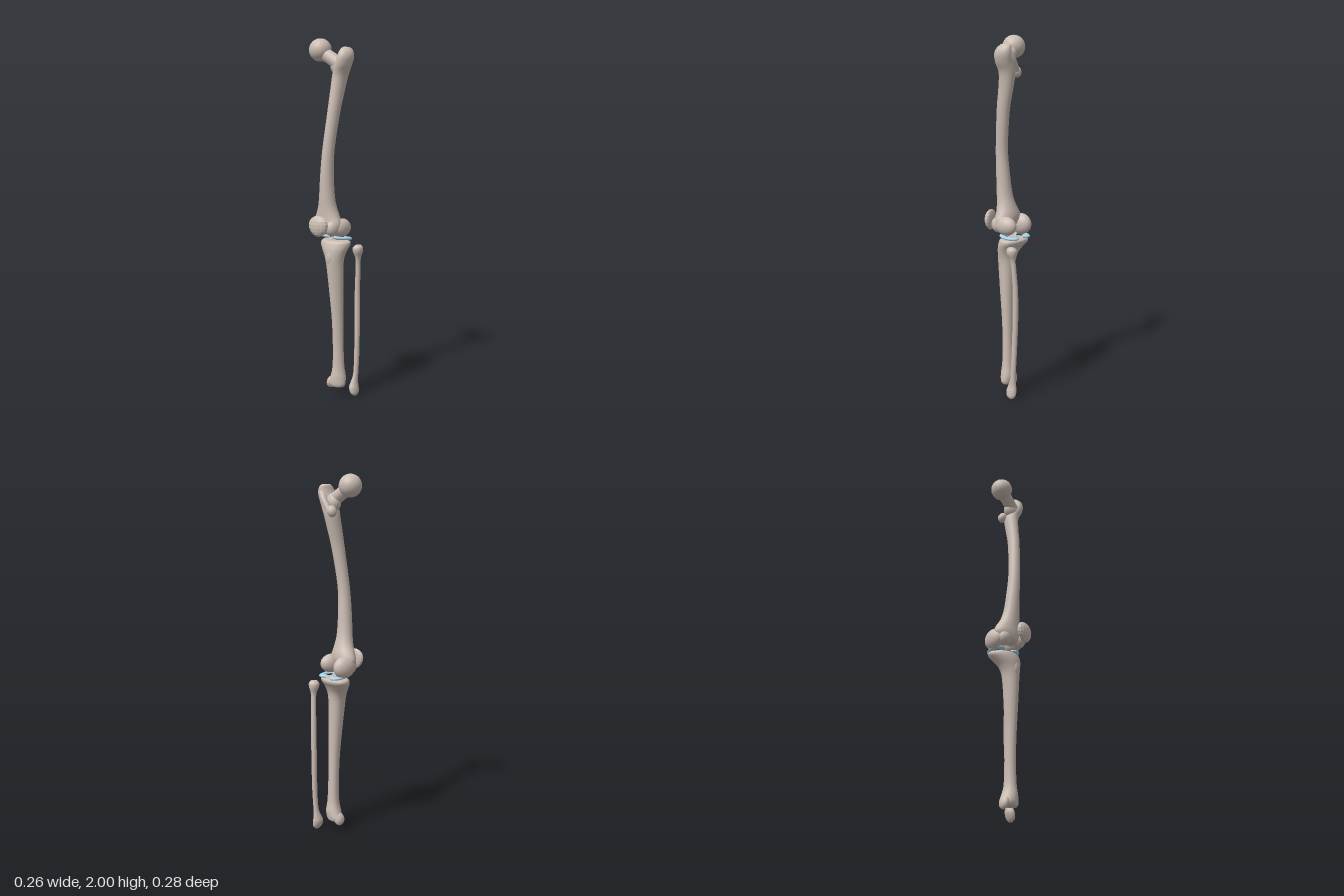
import * as THREE from 'three';

const bone = new THREE.MeshStandardMaterial({ color: 0xcbbdb3 });
const facetedBone = new THREE.MeshStandardMaterial({ color: 0xcbbdb3, flatShading: true });
const cartilage = new THREE.MeshStandardMaterial({ color: 0xa9d3e6, side: THREE.DoubleSide });

function add(group, name, geometry, material = bone) {
  const mesh = new THREE.Mesh(geometry, material);
  mesh.name = name;
  group.add(mesh);
  return mesh;
}

// Smooth upright loft. Rows run bottom to top: [y, xMin, xMax, zMin, zMax].
// crest narrows the section towards +z, giving a front ridge.
function loft(rows, { sides = 24, steps = 4, crest = 0 } = {}) {
  const V = THREE.Vector3;
  const xs = new THREE.CatmullRomCurve3(rows.map(r => new V(r[1], r[0], r[2])), false, 'catmullrom');
  const zs = new THREE.CatmullRomCurve3(rows.map(r => new V(r[3], r[0], r[4])), false, 'catmullrom');
  const n = (rows.length - 1) * steps;
  const pos = [], idx = [];
  for (let i = 0; i <= n; i++) {
    const a = xs.getPoint(i / n), b = zs.getPoint(i / n);
    for (let j = 0; j < sides; j++) {
      const t = j / sides * Math.PI * 2, s = Math.sin(t);
      pos.push((a.x + a.z) / 2 + (a.z - a.x) / 2 * Math.cos(t) * (1 - crest * s),
        a.y, (b.x + b.z) / 2 + (b.z - b.x) / 2 * s);
    }
  }
  for (let i = 0; i < n; i++) for (let j = 0; j < sides; j++) {
    const k = (j + 1) % sides, p = i * sides + j, q = i * sides + k;
    idx.push(p, p + sides, q, q, p + sides, q + sides);
  }
  // End caps
  for (const [row, ring] of [[rows[0], 0], [rows[rows.length - 1], n * sides]]) {
    const c = pos.length / 3;
    pos.push((row[1] + row[2]) / 2, row[0], (row[3] + row[4]) / 2);
    for (let j = 0; j < sides; j++) {
      const p = ring + j, q = ring + (j + 1) % sides;
      idx.push(c, ...(ring ? [q, p] : [p, q]));
    }
  }
  const g = new THREE.BufferGeometry();
  g.setAttribute('position', new THREE.Float32BufferAttribute(pos, 3));
  g.setIndex(idx);
  g.computeVertexNormals();
  return g;
}

function ellipsoid(center, radii, tiltZ = 0, tiltX = 0) {
  return new THREE.SphereGeometry(1, 24, 16).scale(...radii)
    .rotateZ(tiltZ).rotateX(tiltX).translate(...center);
}

function tube(points, radius) {
  const curve = new THREE.CatmullRomCurve3(points.map(p => new THREE.Vector3(...p)));
  return new THREE.TubeGeometry(curve, 16, radius, 16);
}

function makeFemur() {
  const g = new THREE.Group();
  g.name = 'femur';
  // Shaft, flared at the knee and rising into the greater trochanter
  add(g, 'femurShaft', loft([
    [0.945, -0.06, 0.055, -0.01, 0.045],
    [0.965, -0.09, 0.075, -0.03, 0.06],
    [1.0, -0.108, 0.08, -0.045, 0.065],
    [1.035, -0.095, 0.066, -0.045, 0.065],
    [1.08, -0.068, 0.05, -0.033, 0.066],
    [1.14, -0.05, 0.042, -0.018, 0.068],
    [1.25, -0.035, 0.04, -0.008, 0.07],
    [1.4, -0.019, 0.046, -0.004, 0.065],
    [1.6, -0.002, 0.062, -0.031, 0.045],
    [1.72, 0.001, 0.07, -0.06, 0.028],
    [1.8, 0.003, 0.082, -0.078, 0.018],
    [1.85, 0.022, 0.106, -0.08, 0.022],
    [1.89, 0.04, 0.117, -0.085, 0.02],
    [1.92, 0.048, 0.113, -0.085, 0.01],
    [1.942, 0.052, 0.098, -0.078, -0.01],
    [1.95, 0.062, 0.084, -0.06, -0.025],
  ]));
  add(g, 'femoralHead', new THREE.SphereGeometry(0.062, 32, 24).translate(-0.07, 1.938, 0.015));
  add(g, 'femoralNeck', tube([[-0.06, 1.925, 0.012], [0, 1.89, -0.005], [0.065, 1.845, -0.025]], 0.036));
  add(g, 'neckFlare', ellipsoid([0.04, 1.85, -0.022], [0.052, 0.055, 0.04], 0.7));
  // Ridge behind, joining the two trochanters
  add(g, 'trochantericCrest', tube([[0.085, 1.92, -0.065], [0.05, 1.87, -0.075], [0.01, 1.81, -0.068]], 0.017));
  add(g, 'lesserTrochanter', ellipsoid([-0.003, 1.805, -0.058], [0.026, 0.032, 0.027], -0.3));
  // Knee condyles with a notch between them
  add(g, 'medialCondyle', ellipsoid([-0.08, 0.968, -0.03], [0.043, 0.06, 0.066]));
  add(g, 'lateralCondyle', ellipsoid([0.05, 0.973, -0.03], [0.04, 0.052, 0.065]));
  add(g, 'medialTrochlea', ellipsoid([-0.055, 0.968, 0.022], [0.04, 0.045, 0.04]));
  add(g, 'lateralTrochlea', ellipsoid([0.045, 0.975, 0.028], [0.035, 0.045, 0.043]));
  return g;
}

function makeTibia() {
  const g = new THREE.Group();
  g.name = 'tibia';
  add(g, 'tibiaShaft', loft([
    [0.062, -0.022, 0.07, -0.058, 0.01],
    [0.08, -0.034, 0.078, -0.064, 0.016],
    [0.12, -0.016, 0.075, -0.068, 0.015],
    [0.18, -0.002, 0.066, -0.06, 0.007],
    [0.3, 0, 0.061, -0.056, 0.005],
    [0.45, -0.002, 0.062, -0.054, 0.012],
    [0.6, -0.011, 0.065, -0.054, 0.026],
    [0.75, -0.025, 0.068, -0.056, 0.04],
    [0.81, -0.045, 0.076, -0.062, 0.043],
    [0.85, -0.078, 0.088, -0.08, 0.042],
    [0.875, -0.1, 0.095, -0.098, 0.037],
    [0.892, -0.1, 0.094, -0.1, 0.03],
    [0.9, -0.085, 0.082, -0.088, 0.018],
  ], { crest: 0.15 }));
  add(g, 'tibialTuberosity', ellipsoid([0.02, 0.805, 0.028], [0.024, 0.045, 0.018]));
  add(g, 'medialMalleolus', ellipsoid([-0.017, 0.075, -0.02], [0.021, 0.036, 0.032], -0.2));
  for (const x of [-0.014, 0.01])
    add(g, 'intercondylarSpine', ellipsoid([x, 0.9, -0.035], [0.012, 0.024, 0.022]));
  return g;
}

function makeFibula() {
  const g = new THREE.Group();
  g.name = 'fibula';
  add(g, 'fibulaShaft', loft([
    [0.003, 0.085, 0.102, -0.112, -0.088],
    [0.02, 0.074, 0.11, -0.127, -0.07],
    [0.05, 0.064, 0.109, -0.13, -0.066],
    [0.08, 0.068, 0.103, -0.127, -0.078],
    [0.13, 0.075, 0.102, -0.126, -0.095],
    [0.25, 0.075, 0.103, -0.133, -0.102],
    [0.45, 0.069, 0.101, -0.139, -0.108],
    [0.62, 0.071, 0.1, -0.139, -0.108],
    [0.74, 0.08, 0.107, -0.134, -0.106],
    [0.8, 0.084, 0.113, -0.132, -0.098],
    [0.835, 0.073, 0.127, -0.14, -0.083],
    [0.858, 0.073, 0.129, -0.141, -0.08],
    [0.873, 0.088, 0.12, -0.13, -0.092],
  ], { sides: 14 }));
  return g;
}

// Kneecap: faceted, domed in front, flat behind and tapering downwards
function makePatella() {
  const geo = new THREE.SphereGeometry(1, 14, 9);
  const p = geo.attributes.position;
  for (let i = 0; i < p.count; i++) {
    const x = p.getX(i), y = p.getY(i), z = p.getZ(i);
    p.setXYZ(i, x * 0.06 * (1 + 0.14 * y), y * 0.058, z * (z > 0 ? 0.03 : 0.018));
  }
  return geo.rotateY(0.3).translate(0.018, 0.99, 0.106);
}

// Crescent cartilage pad, open towards the middle of the knee
function makeMeniscus(side) {
  const arc = 4.7;
  const geo = new THREE.TorusGeometry(0.03, 0.013, 10, 32, arc)
    .rotateZ(Math.PI - arc / 2).rotateX(Math.PI / 2);
  if (side > 0) geo.rotateY(Math.PI);
  return geo.scale(1, 0.65, 1.4).rotateX(-0.12).translate(side * 0.05 - 0.004, 0.913, -0.047);
}

export function createModel() {
  const model = new THREE.Group();
  model.name = 'legBones';
  model.add(makeFemur(), makeTibia(), makeFibula());
  add(model, 'patella', makePatella(), facetedBone);
  add(model, 'medialMeniscus', makeMeniscus(-1), cartilage);
  add(model, 'lateralMeniscus', makeMeniscus(1), cartilage);
  return model;
}
